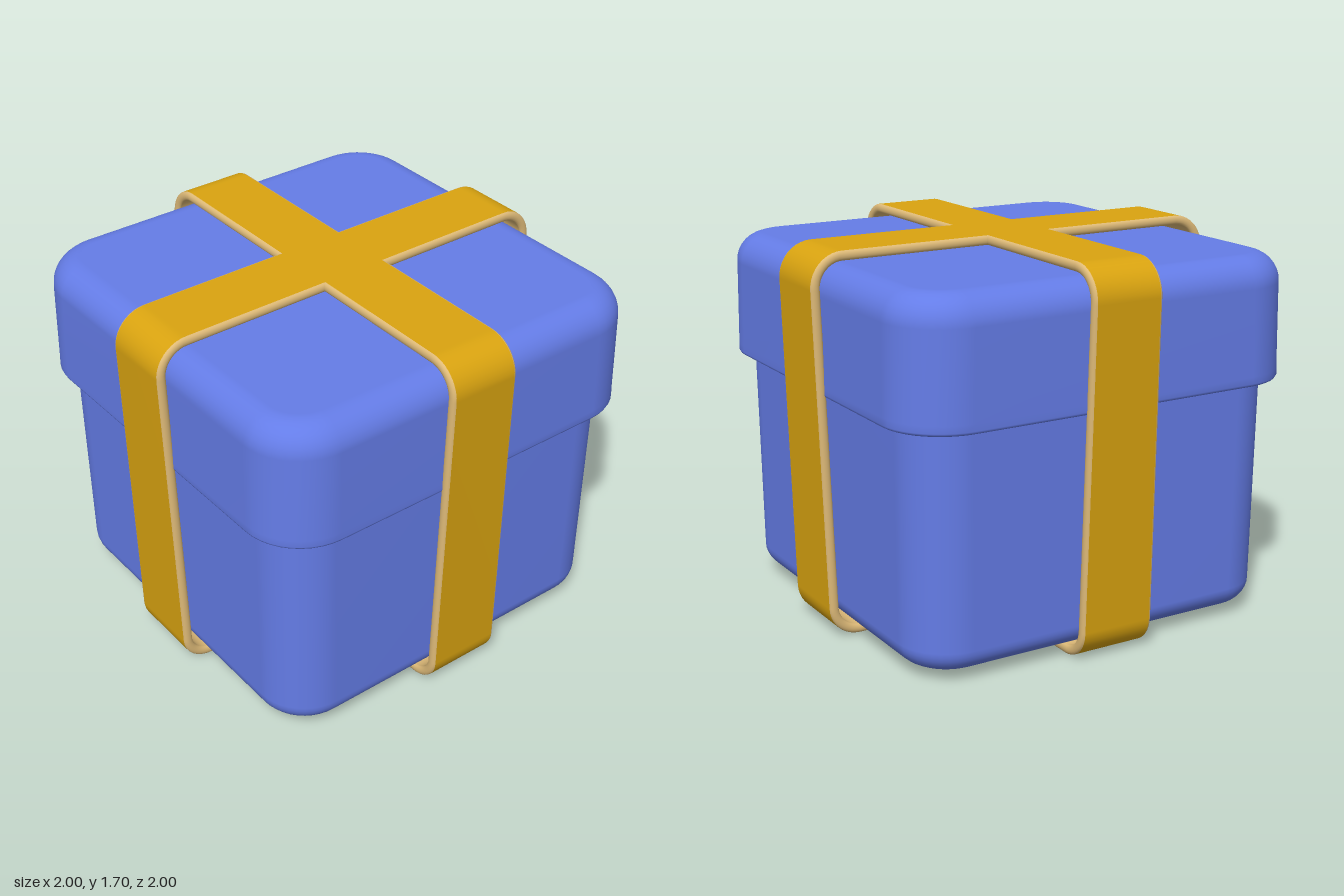
import * as THREE from 'three';

const boxBlue = new THREE.MeshStandardMaterial({ color: 0x667eea, name: 'boxBlue' });
const ribbonGold = new THREE.MeshStandardMaterial({ color: 0xdaa410, name: 'ribbonGold' });
const ribbonEdge = new THREE.MeshStandardMaterial({ color: 0xdeba78, name: 'ribbonEdge' });

// Smooth skin over rows of points; every row is a closed loop
function skin(rows, material, name) {
  const n = rows[0].length, index = [];
  for (let i = 0; i < rows.length - 1; i++) {
    for (let j = 0; j < n; j++) {
      const a = i * n + j, b = i * n + (j + 1) % n;
      index.push(a, b, b + n, a, b + n, a + n);
    }
  }
  const geometry = new THREE.BufferGeometry();
  geometry.setAttribute('position', new THREE.Float32BufferAttribute(rows.flat(2), 3));
  geometry.setIndex(index);
  geometry.computeVertexNormals();
  const mesh = new THREE.Mesh(geometry, material);
  mesh.name = name;
  return mesh;
}

// Horizontal rounded square with half width w and corner radius r
function roundedSquare([w, y, r]) {
  const row = [], steps = 10;
  for (let q = 0; q < 4; q++) {
    const mid = (q + 0.5) * Math.PI / 2;
    const cx = Math.sign(Math.cos(mid)) * (w - r), cz = -Math.sign(Math.sin(mid)) * (w - r);
    for (let s = 0; s <= steps; s++) {
      const a = (q + s / steps) * Math.PI / 2;
      row.push([cx + r * Math.cos(a), y, cz - r * Math.sin(a)]);
    }
  }
  return row;
}

// Quarter-round profile between a side wall and a flat cap
function fillet(w, y, radius, corner, up) {
  const rows = [];
  for (let s = 0; s <= 8; s++) {
    const a = s / 8 * Math.PI / 2;
    const inset = radius * (1 - Math.cos(a));
    rows.push([w - inset, y + up * radius * (Math.sin(a) - 1), corner - inset]);
  }
  return up > 0 ? rows : rows.reverse();
}

// Ribbon outline: slightly tapered rounded loop, as [x, y, normalX, normalY]
function ribbonPath() {
  const tilt = -0.03, half = Math.PI / 2, path = [];
  const arcs = [
    [0.82, 0.142, 0.14, -half, tilt],
    [0.85, 1.547, 0.15, tilt, half],
    [-0.85, 1.547, 0.15, half, Math.PI - tilt],
    [-0.82, 0.142, 0.14, Math.PI - tilt, 3 * half],
  ];
  for (const [cx, cy, r, from, to] of arcs) {
    for (let s = 0; s <= 10; s++) {
      const a = from + (to - from) * s / 10, c = Math.cos(a), d = Math.sin(a);
      path.push([cx + r * c, cy + r * d, c, d]);
    }
  }
  return path;
}

function createRibbon(name) {
  const ribbon = new THREE.Group(), path = ribbonPath();
  ribbon.name = name;
  const thickness = 0.042, bulge = 0.014;
  // One loop at the given side (-1..1), outward bulge and depth below the face
  const loop = (side, out, depth) => path.map(([x, y, nx, ny]) => {
    const halfWidth = 0.178 - 0.007 * y - bulge;
    return [x - nx * depth, y - ny * depth, side * (halfWidth + out)];
  });
  ribbon.add(skin([loop(-1, 0, 0), loop(1, 0, 0)], ribbonGold, 'ribbonFace'));
  // Rounded edges and inner face
  const rim = [];
  for (const side of [1, -1]) {
    for (let s = 0; s <= 8; s++) {
      const t = (side > 0 ? s : 8 - s) / 8 * Math.PI;
      rim.push(loop(side, bulge * Math.sin(t), thickness * (1 - Math.cos(t)) / 2));
    }
  }
  ribbon.add(skin(rim, ribbonEdge, 'ribbonEdges'));
  return ribbon;
}

export function createModel() {
  const gift = new THREE.Group();
  gift.name = 'giftBox';

  // Box body with a rounded base, reaching up inside the lid
  const body = [[0, 0.043, 0], ...fillet(0.882, 0.043, 0.1, 0.23, -1), [0.892, 1.2, 0.23]];
  gift.add(skin(body.map(roundedSquare), boxBlue, 'boxBody'));

  // Lid with an overhanging lip and a rounded top
  const lid = [
    [0.87, 1.13, 0.21], [0.89, 1.1, 0.22], [0.9, 1.09, 0.23], [0.91, 1.086, 0.24],
    [0.945, 1.086, 0.26], [0.953, 1.09, 0.27], [0.957, 1.1, 0.27], [0.956, 1.13, 0.27],
    ...fillet(0.951, 1.64, 0.13, 0.27, 1), [0, 1.64, 0],
  ];
  gift.add(skin(lid.map(roundedSquare), boxBlue, 'boxLid'));

  // Two crossing ribbons
  const sideRibbon = createRibbon('sideToSideRibbon');
  const frontRibbon = createRibbon('frontToBackRibbon');
  frontRibbon.rotation.y = Math.PI / 2;
  gift.add(sideRibbon, frontRibbon);
  return gift;
}
